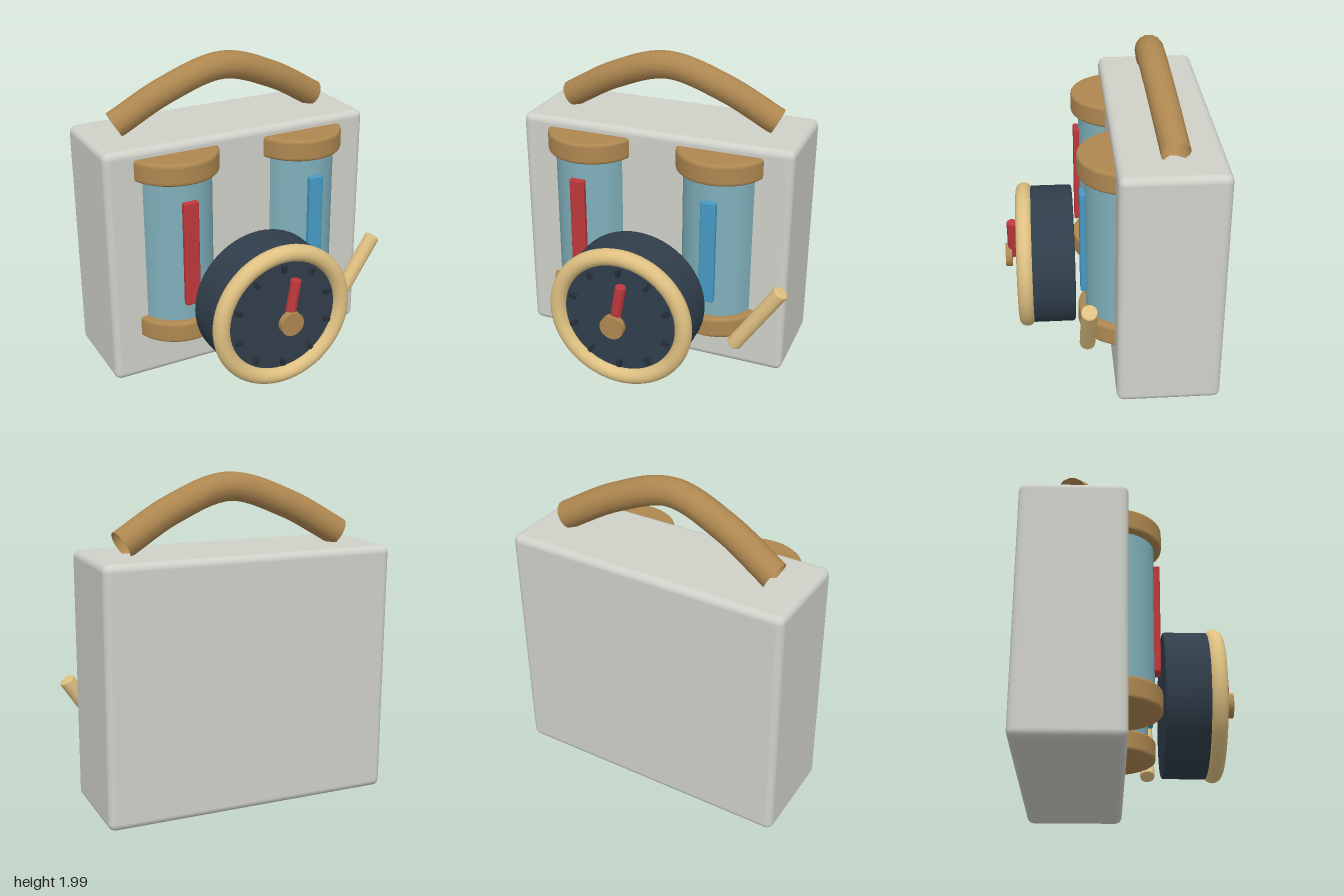
import * as THREE from 'three';
import { toCreasedNormals } from 'three/addons/utils/BufferGeometryUtils.js';
import { RoundedBoxGeometry } from 'three/addons/geometries/RoundedBoxGeometry.js';

const paint = (name, color, side = THREE.FrontSide) => {
  const m = new THREE.MeshStandardMaterial({ color, side });
  m.name = name;
  return m;
};

// Upright disc or rod with softly rounded rims, centred on its own origin
function roundedDisc(radius, height, bevel, segments = 48) {
  const h = height / 2, steps = 3;
  const profile = [new THREE.Vector2(0, -h)];
  for (const s of [-1, 1]) {
    for (let i = 0; i <= steps; i++) {
      const k = s < 0 ? i : steps - i;
      const a = (k / steps) * Math.PI / 2;
      profile.push(new THREE.Vector2(
        radius - bevel + Math.sin(a) * bevel,
        s * (h - bevel + Math.cos(a) * bevel)));
    }
  }
  profile.push(new THREE.Vector2(0, h));
  return toCreasedNormals(new THREE.LatheGeometry(profile, segments), 0.2);
}

export function createModel() {
  const model = new THREE.Group();
  model.name = 'gaugeCase';

  const casing = paint('casing grey', 0xcfd0c8);
  const bronze = paint('bronze', 0xae8750, THREE.DoubleSide);
  const brass = paint('pale brass', 0xdec081);
  const glass = paint('tank teal', 0x7fafba);
  const slate = paint('slate', 0x303e4b);
  const tickDark = paint('tick dark', 0x252e37);
  const red = paint('red', 0xbe383c);
  const blue = paint('blue', 0x459ac4);

  const add = (parent, name, geometry, material, x = 0, y = 0, z = 0) => {
    const mesh = new THREE.Mesh(geometry, material);
    mesh.name = name;
    mesh.position.set(x, y, z);
    parent.add(mesh);
    return mesh;
  };

  const CX = -0.028; // the case sits slightly off centre because of the lever

  // Case
  add(model, 'case', new RoundedBoxGeometry(1.805, 1.55, 0.635, 3, 0.045), casing, CX, 0.78, -0.332);

  // Carrying handle: an open tube leaning forward at its crown
  const path = new THREE.CatmullRomCurve3([
    [-0.705, 1.61, -0.347], [-0.37, 1.798, -0.305], [0, 1.912, -0.277],
    [0.37, 1.798, -0.305], [0.705, 1.61, -0.347],
  ].map(([x, y, z]) => new THREE.Vector3(x + CX, y, z)));
  add(model, 'handle', new THREE.TubeGeometry(path, 48, 0.088, 14), bronze);

  // Two tanks half sunk into the case, each with caps and a level strip
  const capGeometry = roundedDisc(0.293, 0.138, 0.02);
  const tankGeometry = new THREE.CylinderGeometry(0.246, 0.246, 1.06, 48);
  const stripGeometry = new RoundedBoxGeometry(0.1, 0.69, 0.04, 2, 0.01);
  for (const [side, x, stripMaterial] of [['right', -0.465, red], ['left', 0.41, blue]]) {
    const tank = new THREE.Group();
    tank.name = side + 'Tank';
    tank.position.set(x, 0, -0.097);
    add(tank, 'tankBody', tankGeometry, glass, 0, 0.895, 0);
    add(tank, 'topCap', capGeometry, bronze, 0, 1.426, 0);
    add(tank, 'bottomCap', capGeometry, bronze, 0, 0.366, 0);
    add(tank, 'levelStrip', stripGeometry, stripMaterial, 0, 0.895, 0.26);
    model.add(tank);
  }

  // Gauge in front of the tanks
  const gauge = new THREE.Group();
  gauge.name = 'gauge';
  gauge.position.set(CX, 0.528, 0);
  model.add(gauge);
  const drum = add(gauge, 'gaugeDrum', roundedDisc(0.45, 0.275, 0.015, 64), slate, 0, 0, 0.3475);
  drum.rotation.x = Math.PI / 2;
  const face = add(gauge, 'gaugeFace', new THREE.CylinderGeometry(0.372, 0.372, 0.06, 64), slate, 0, 0, 0.495);
  face.rotation.x = Math.PI / 2;
  add(gauge, 'gaugeRim', new THREE.TorusGeometry(0.42, 0.053, 20, 64), brass, 0, 0, 0.522);

  // Ten tick marks around the face
  const tickGeometry = new THREE.BoxGeometry(0.026, 0.045, 0.04);
  for (let i = 0; i < 10; i++) {
    const a = (i / 10) * Math.PI * 2;
    const tick = add(gauge, 'tick', tickGeometry, tickDark,
      -Math.sin(a) * 0.325, Math.cos(a) * 0.325, 0.535);
    tick.rotation.z = a;
  }

  // Needle and hub
  const tilt = -0.165, needleLength = 0.28;
  const needle = add(gauge, 'needle', roundedDisc(0.034, needleLength, 0.006, 10), red,
    -Math.sin(tilt) * needleLength / 2, Math.cos(tilt) * needleLength / 2, 0.603);
  needle.rotation.z = tilt;
  const hub = add(gauge, 'hub', new THREE.CylinderGeometry(0.077, 0.077, 0.042, 32), bronze, 0, 0, 0.632);
  hub.rotation.x = Math.PI / 2;

  // Slanted lever at the side of the gauge
  const lever = add(model, 'lever', roundedDisc(0.049, 0.535, 0.012, 32), brass, 0.743, 0.484, 0.15);
  lever.rotation.z = -0.58;

  return model;
}
